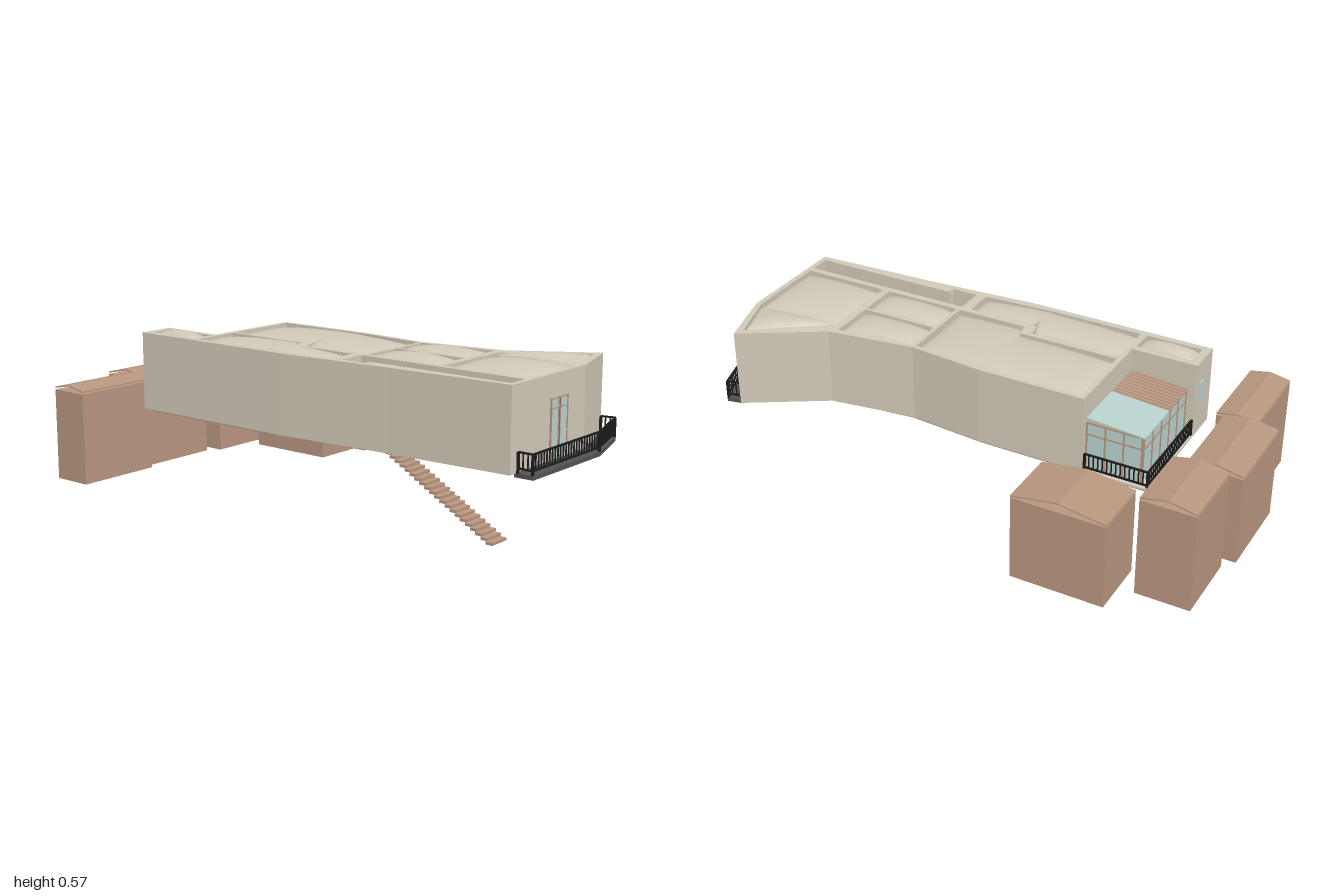
import * as THREE from 'three';

export function createModel() {
  const model = new THREE.Group();
  model.name = 'elevatedHouse';
  const mat = (name, color, side = THREE.FrontSide) => {
    const m = new THREE.MeshStandardMaterial({ color, side });
    m.name = name;
    return m;
  };
  const beige = mat('plaster', 0xd0c9b8, THREE.DoubleSide);
  const brown = mat('clay', 0xb8967f);
  const glass = mat('glass', 0xb9d2ce);
  const grey = mat('darkSlab', 0x555350);
  const black = mat('blackMetal', 0x1c1c1c);

  const add = (name, geo, material, parent = model) => {
    const m = new THREE.Mesh(geo, material);
    m.name = name;
    parent.add(m);
    return m;
  };
  const group = (name) => {
    const g = new THREE.Group();
    g.name = name;
    model.add(g);
    return g;
  };
  // Box given by its minimum and maximum corners
  const box = (name, x0, x1, y0, y1, z0, z1, material, parent) => {
    const geo = new THREE.BoxGeometry(x1 - x0, y1 - y0, z1 - z0);
    geo.translate((x0 + x1) / 2, (y0 + y1) / 2, (z0 + z1) / 2);
    return add(name, geo, material, parent);
  };
  // Plan polygon of [x, z] points raised from y0 to y1
  const planPoints = (pts) => pts.map(([x, z]) => new THREE.Vector2(x, -z));
  const prism = (name, pts, y0, y1, material, holes = [], parent = model) => {
    const shape = new THREE.Shape(planPoints(pts));
    holes.forEach((h) => shape.holes.push(new THREE.Path(planPoints(h))));
    const geo = new THREE.ExtrudeGeometry(shape, { depth: y1 - y0, bevelEnabled: false });
    geo.rotateX(-Math.PI / 2);
    geo.translate(0, y0, 0);
    return add(name, geo, material, parent);
  };
  // A room is a list of rows [z, xLeft, xRight]
  const roomOutline = (rows) => [
    ...rows.map(([z, l]) => [l, z]),
    ...rows.slice().reverse().map(([z, , r]) => [r, z]),
  ];

  const bedLeft = [[-0.67, -0.285, -0.195], [-0.455, -0.285, -0.195]];
  const longLeft = [[-0.43, -0.285, -0.1], [-0.085, -0.285, -0.1], [-0.075, -0.285, -0.155], [0.2, -0.27, -0.155]];
  const longRight = [[-0.43, -0.08, 0.205], [-0.045, -0.08, 0.205], [-0.035, -0.13, 0.204], [0.235, -0.13, 0.18]];
  const midLeft = [[0.25, -0.13, 0.025], [0.545, -0.13, 0.025]];
  const midRight = [[0.25, 0.037, 0.178], [0.545, 0.037, 0.215]];
  const frontRoom = [[0.575, -0.13, 0.187], [0.845, -0.13, 0.385], [0.91, -0.13, 0.187]];
  const frontMain = [[0.575, -0.13, 0.178], [0.91, -0.13, 0.182]];
  const frontWedge = [[0.575, 0.178, 0.187], [0.845, 0.181, 0.385], [0.91, 0.182, 0.187]];
  const stairWell = [[0.24, -0.265, -0.155], [0.34, -0.265, -0.155], [0.345, -0.235, -0.155], [0.91, -0.235, -0.155]];

  // Main walls with open rooms
  const outline = [
    [-0.31, -0.7], [-0.17, -0.7], [-0.17, -0.45], [0.222, -0.45], [0.222, -0.04], [0.196, 0.24],
    [0.245, 0.57], [0.423, 0.86], [0.19, 0.93], [-0.26, 0.93], [-0.28, 0.45], [-0.31, 0],
  ];
  const rooms = [bedLeft, longLeft, longRight, midLeft, midRight, frontRoom];
  prism('walls', outline, 0.262, 0.556, beige, [...rooms, stairWell].map(roomOutline));

  // Floors under the rooms and the stair landing
  const landing = [[0.24, -0.265, -0.155], [0.34, -0.265, -0.155], [0.345, -0.235, -0.155], [0.39, -0.235, -0.155]];
  const floors = group('floors');
  [...rooms, landing].forEach((r) => {
    const grown = r.map(([z, l, rr], i) => [z + (i === 0 ? -0.01 : i === r.length - 1 ? 0.01 : 0), l - 0.008, rr + 0.008]);
    prism('floor', roomOutline(r === landing ? landing : grown), 0.252, 0.263, brown, [], floors);
  });

  // Pillow-shaped roofs that bulge out of the rooms
  const rowAt = (rows, z) => {
    let i = 0;
    while (i < rows.length - 2 && z > rows[i + 1][0]) i++;
    const [a, b] = [rows[i], rows[i + 1]];
    const t = (z - a[0]) / (b[0] - a[0]);
    return [a[1] + (b[1] - a[1]) * t, a[2] + (b[2] - a[2]) * t];
  };
  const roofs = group('pillowRoofs');
  [bedLeft, longLeft, longRight, midLeft, midRight, frontMain, frontWedge].forEach((rows) => {
    const geo = new THREE.PlaneGeometry(1, 1, 20, 44);
    const p = geo.attributes.position;
    const z0 = rows[0][0], z1 = rows[rows.length - 1][0];
    for (let i = 0; i < p.count; i++) {
      const u = p.getX(i) + 0.5, v = 0.5 - p.getY(i);
      const z = z0 + (z1 - z0) * v;
      const [l, r] = rowAt(rows, z);
      const bulge = Math.pow(Math.max(0, 16 * u * (1 - u) * v * (1 - v)), 0.4);
      p.setXYZ(i, l + (r - l) * u, 0.533 + 0.035 * bulge, z);
    }
    geo.computeVertexNormals();
    add('pillowRoof', geo, beige, roofs);
  });

  // Stairs down from the landing
  const stairs = group('stairs');
  const steps = 21;
  for (let i = 0; i < steps; i++) {
    const t = i / (steps - 1);
    const z = 0.42 + 0.42 * t, y = 0.25 - 0.238 * t;
    box('step', -0.235, -0.153, y - 0.005, y + 0.005, z - 0.013, z + 0.013, brown, stairs);
  }

  // Straight square bar between two points
  const bar = (name, a, b, size, material, parent) => {
    const va = new THREE.Vector3(...a), vb = new THREE.Vector3(...b);
    const m = add(name, new THREE.BoxGeometry(size, size, va.distanceTo(vb)), material, parent);
    m.position.copy(va).add(vb).multiplyScalar(0.5);
    m.lookAt(vb);
  };
  const railing = (name, pts) => {
    const g = group(name);
    for (let s = 0; s < pts.length - 1; s++) {
      const [a, b] = [pts[s], pts[s + 1]];
      [0.28, 0.334].forEach((y) => bar('rail', [a[0], y, a[1]], [b[0], y, b[1]], 0.006, black, g));
      const n = Math.max(2, Math.round(Math.hypot(b[0] - a[0], b[1] - a[1]) / 0.0165));
      for (let i = 0; i <= n; i++) {
        const x = a[0] + ((b[0] - a[0]) * i) / n, z = a[1] + ((b[1] - a[1]) * i) / n;
        const w = i % n === 0 ? 0.004 : 0.002;
        box('baluster', x - w, x + w, i % n === 0 ? 0.262 : 0.28, 0.334, z - w, z + w, black, g);
      }
    }
  };

  // Front balcony
  prism('balconySlab', [[-0.228, 0.925], [0.19, 0.925], [0.405, 0.862], [0.419, 0.925], [0.19, 0.997], [-0.228, 0.997]], 0.25, 0.265, grey);
  railing('balconyRailing', [[-0.224, 0.937], [-0.224, 0.992], [0.19, 0.992], [0.414, 0.922], [0.403, 0.872]]);

  // Framed glass door facing the balcony
  const door = group('frontDoor');
  box('doorGlass', -0.028, 0.075, 0.265, 0.475, 0.929, 0.933, glass, door);
  [-0.028, 0.017, 0.026, 0.072].forEach((x) => box('doorFrame', x - 0.002, x + 0.002, 0.265, 0.475, 0.929, 0.936, brown, door));
  [0.44, 0.473].forEach((y) => box('doorFrame', -0.028, 0.075, y - 0.002, y + 0.002, 0.929, 0.936, brown, door));
  box('doorGap', 0.02, 0.024, 0.265, 0.475, 0.929, 0.935, grey, door);

  // Small window at the back
  box('backWindow', -0.235, -0.2, 0.4, 0.47, -0.704, -0.699, glass);

  // Rear terrace with glazed room
  box('terraceFloor', -0.17, 0.222, 0.262, 0.27, -0.7, -0.45, beige);
  box('terraceUnderside', -0.17, 0.212, 0.252, 0.262, -0.69, -0.45, brown);
  railing('terraceRailing', [[-0.165, -0.694], [0.214, -0.694], [0.214, -0.456]]);
  const sunroom = group('sunroom');
  box('backGlass', -0.168, 0.195, 0.27, 0.45, -0.665, -0.66, glass, sunroom);
  box('sideGlass', 0.19, 0.195, 0.27, 0.45, -0.665, -0.45, glass, sunroom);
  for (let i = 0; i <= 5; i++) {
    const x = -0.166 + 0.36 * (i / 5);
    box('frame', x - 0.003, x + 0.003, 0.27, 0.452, -0.668, -0.657, brown, sunroom);
  }
  [-0.662, -0.592, -0.523, -0.453].forEach((z) => box('frame', 0.187, 0.198, 0.27, 0.452, z - 0.003, z + 0.003, brown, sunroom));
  [0.405, 0.45].forEach((y) => {
    box('frame', -0.168, 0.198, y - 0.003, y + 0.003, -0.668, -0.657, brown, sunroom);
    box('frame', 0.187, 0.198, y - 0.003, y + 0.003, -0.668, -0.45, brown, sunroom);
  });
  [['tiledRoof', -0.168, 0, brown], ['glassRoof', 0, 0.2, glass]].forEach(([name, x0, x1, m]) => {
    const roof = box(name, x0, x1, -0.003, 0.003, -0.11, 0.11, m, sunroom);
    roof.position.set(0, 0.461, -0.562);
    roof.rotation.x = -0.075;
  });
  for (let i = 0; i < 9; i++) {
    const x = -0.16 + i * 0.019;
    bar('tileRib', [x, 0.457, -0.67], [x, 0.472, -0.453], 0.004, brown, sunroom);
  }

  // Neighbouring houses: block body and thin folded roof
  const house = (x0, x1, z0, z1, wall, eave, ridge) => {
    const g = group('neighbourHouse');
    box('houseBody', x0, x1, 0, wall, z0, z1, brown, g);
    const h = (z1 - z0) / 2, t = 0.005;
    const fold = [[-h, eave], [h, eave], [h, eave + t], [0, ridge], [-h, eave + t]];
    fold.splice(1, 0, [0, ridge - t]);
    const shape = new THREE.Shape(fold.map(([a, b]) => new THREE.Vector2(a, b)));
    const geo = new THREE.ExtrudeGeometry(shape, { depth: x1 - x0, bevelEnabled: false });
    geo.rotateY(Math.PI / 2);
    geo.translate(x0, 0, (z0 + z1) / 2);
    add('houseRoof', geo, brown, g);
  };
  house(-0.56, -0.22, -0.92, -0.765, 0.346, 0.352, 0.372);
  house(-0.22, 0.117, -1, -0.795, 0.345, 0.35, 0.376);
  house(0.16, 0.436, -0.963, -0.76, 0.38, 0.385, 0.411);
  house(0.33, 0.557, -0.702, -0.35, 0.326, 0.33, 0.362);

  return model;
}
